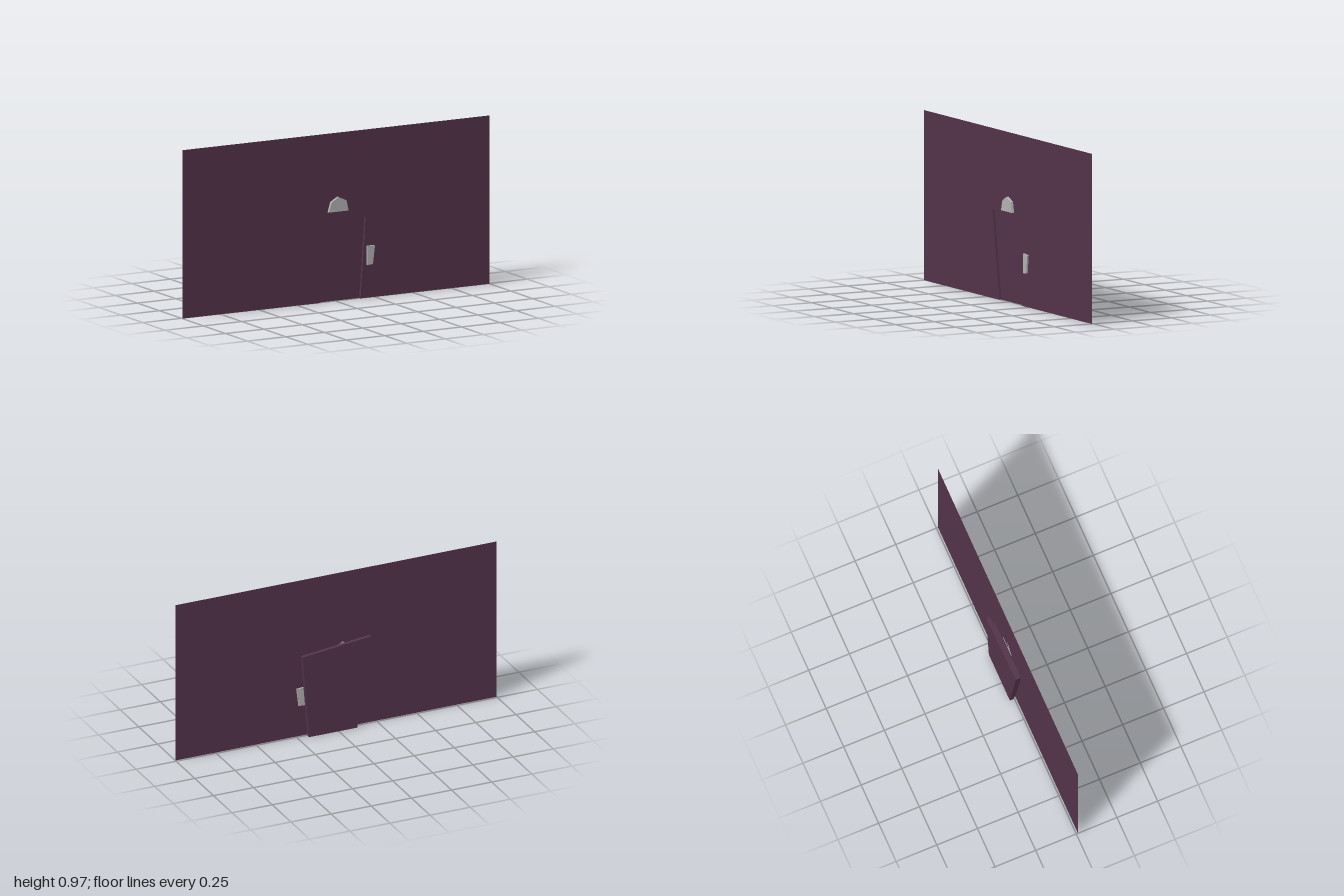
import * as THREE from 'three';

const WALL_Z = 0.01, DOOR_FRONT = -0.005, DOOR_BACK = -0.028;

function outline(points) {
  return new THREE.Shape(points.map(([x, y]) => new THREE.Vector2(x, y)));
}

// Straight-sided slab between two z depths
function slab(name, points, back, front, material) {
  const geometry = new THREE.ExtrudeGeometry(outline(points), { depth: front - back, bevelEnabled: false });
  geometry.translate(0, 0, back);
  const mesh = new THREE.Mesh(geometry, material);
  mesh.name = name;
  return mesh;
}

export function createModel() {
  const model = new THREE.Group();
  model.name = 'elevatorWall';
  const plum = new THREE.MeshStandardMaterial({ color: 0x54344b, side: THREE.DoubleSide });
  plum.name = 'plum';
  const grey = new THREE.MeshStandardMaterial({ color: 0xb3b3b3 });
  grey.name = 'light grey';

  // Crooked doorway, from bottom left over the top to bottom right
  const doorway = [[-0.105, 0], [-0.185, 0.508], [0.193, 0.468], [0.16, 0]];

  // Thin wall notched by the doorway
  const wall = new THREE.Mesh(
    new THREE.ShapeGeometry(outline([[-1, 0], ...doorway, [1, 0], [1, 0.97], [-1, 0.97]])), plum);
  wall.position.z = WALL_Z;
  wall.name = 'wall';
  model.add(wall);

  // Reveal: jambs and lintel running back to the doors
  const frame = new THREE.Group();
  frame.name = 'doorReveal';
  ['leftJamb', 'lintel', 'rightJamb'].forEach((name, i) => {
    const [a, b] = [doorway[i], doorway[i + 1]];
    const geometry = new THREE.BufferGeometry();
    geometry.setAttribute('position', new THREE.Float32BufferAttribute([
      ...a, WALL_Z, ...b, WALL_Z, ...b, DOOR_FRONT, ...a, DOOR_FRONT], 3));
    geometry.setIndex([0, 1, 2, 0, 2, 3]);
    geometry.computeVertexNormals();
    const mesh = new THREE.Mesh(geometry, plum);
    mesh.name = name;
    frame.add(mesh);
  });
  model.add(frame);

  // Two sliding doors meeting at a slanted seam
  model.add(
    slab('rightDoor', [[-0.115, 0], [0.032, 0], [0, 0.53], [-0.2, 0.553]], DOOR_BACK, DOOR_FRONT, plum),
    slab('leftDoor', [[0.032, 0], [0.185, 0], [0.225, 0.505], [0, 0.53]], DOOR_BACK, DOOR_FRONT, plum));

  // Floor indicator above the doorway, with its small pointer
  model.add(
    slab('floorIndicator',
      [[-0.055, 0.518], [0.073, 0.518], [0.06, 0.578], [0.008, 0.602], [-0.038, 0.575]], WALL_Z, 0.026, grey),
    slab('indicatorPointer', [[-0.03, 0.52], [0.008, 0.52], [0.004, 0.528], [-0.026, 0.53]], 0.026, 0.029, grey));

  // Call button plate
  model.add(slab('callPanel', [[0.198, 0.19], [0.235, 0.192], [0.248, 0.298], [0.198, 0.302]], 0.001, 0.02, grey));

  return model;
}
